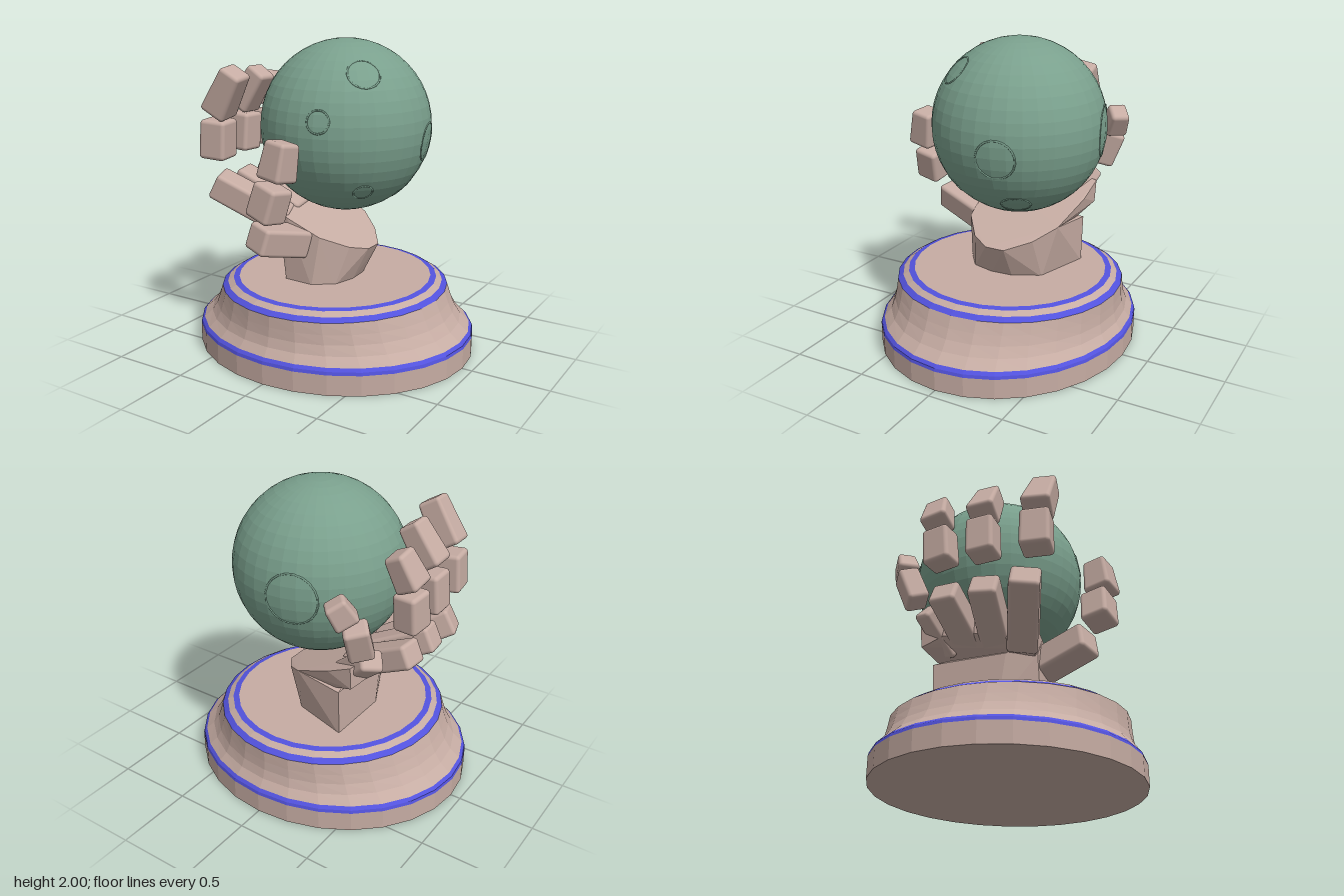
import * as THREE from 'three';
import { RoundedBoxGeometry } from 'three/addons/geometries/RoundedBoxGeometry.js';
import { ConvexGeometry } from 'three/addons/geometries/ConvexGeometry.js';

const V = (x, y, z) => new THREE.Vector3(x, y, z);
const mat = (color, flatShading = true) => new THREE.MeshStandardMaterial({ color, flatShading });
const stone = mat(0xc6aca3);
const boneSmooth = mat(0xc6aca3, false);
const blue = mat(0x5252dc);
const green = mat(0x7aa08d);
const greenSmooth = mat(0x7aa08d, false);

function add(parent, name, geometry, material) {
  const mesh = new THREE.Mesh(geometry, material);
  mesh.name = name;
  parent.add(mesh);
  return mesh;
}

// Turned band of the plinth: oval at the foot, round at the top
function band(parent, name, profile, material) {
  const g = new THREE.LatheGeometry(profile.map(([r, y]) => new THREE.Vector2(r, y)), 28);
  const p = g.attributes.position;
  for (let i = 0; i < p.count; i++) {
    const k = THREE.MathUtils.clamp((p.getY(i) - 0.165) / 0.245, 0, 1);
    p.setZ(i, p.getZ(i) * THREE.MathUtils.lerp(0.888, 1.015, k));
  }
  g.computeVertexNormals();
  add(parent, name, g, material);
}

// Rounded finger bone from a to b; "side" is its width direction, the far end narrows by taper
function bone(parent, name, a, b, side, width, depth, taper = 1) {
  const dir = b.clone().sub(a);
  const length = dir.length();
  const g = new RoundedBoxGeometry(width, length, depth, 3, 0.025);
  const p = g.attributes.position;
  for (let i = 0; i < p.count; i++) {
    const s = THREE.MathUtils.lerp(1, taper, THREE.MathUtils.clamp(p.getY(i) / length + 0.5, 0, 1));
    p.setX(i, p.getX(i) * s);
    p.setZ(i, p.getZ(i) * s);
  }
  const y = dir.normalize();
  const z = side.clone().cross(y).normalize();
  const x = y.clone().cross(z);
  g.applyMatrix4(new THREE.Matrix4().makeBasis(x, y, z).setPosition(a.clone().add(b).multiplyScalar(0.5)));
  add(parent, name, g, boneSmooth);
}

export function createModel() {
  const model = new THREE.Group();
  model.name = 'handHoldingGlobe';

  // Plinth with inlaid bands
  const plinth = new THREE.Group();
  plinth.name = 'plinth';
  model.add(plinth);
  band(plinth, 'plinthFoot', [[0, 0], [0.935, 0], [0.935, 0.13]], stone);
  band(plinth, 'lowerBand', [[0.935, 0.13], [0.93, 0.15], [0.91, 0.168]], blue);
  band(plinth, 'plinthFlare', [[0.91, 0.168], [0.845, 0.22], [0.8, 0.28], [0.77, 0.34], [0.74, 0.412]], stone);
  band(plinth, 'upperBand', [[0.74, 0.412], [0.705, 0.435]], blue);
  band(plinth, 'plinthShoulder', [[0.705, 0.435], [0.668, 0.458]], stone);
  band(plinth, 'topBand', [[0.668, 0.458], [0.63, 0.465]], blue);
  band(plinth, 'plinthTop', [[0.63, 0.465], [0, 0.465]], stone);

  // Globe with shallow crater rims
  const R = 0.55;
  const globe = new THREE.Group();
  globe.name = 'globe';
  globe.position.set(0.03, 1.45, -0.085);
  model.add(globe);
  add(globe, 'sphere', new THREE.SphereGeometry(R, 36, 24), green);
  const craters = [
    [0.12, 0.1, 0.52, 0.07], [0.29, 0.37, 0.28, 0.1], [0.3, -0.35, 0.295, 0.06],
    [0.33, -0.41, -0.155, 0.09], [0.53, -0.08, -0.12, 0.12], [-0.154, -0.01, -0.522, 0.16],
  ];
  for (const [x, y, z, r] of craters) {
    const d = V(x, y, z).normalize();
    const rim = add(globe, 'craterRim', new THREE.TorusGeometry(r, 0.006, 6, 20), greenSmooth);
    rim.position.copy(d).multiplyScalar(Math.sqrt(R * R - r * r) - 0.003);
    rim.quaternion.setFromUnitVectors(V(0, 0, 1), d);
  }

  const hand = new THREE.Group();
  hand.name = 'hand';
  model.add(hand);

  // Rim of the sloping palm, shared by the wrist and the palm slab
  const rim = [
    V(-0.18, 0.88, 0.29), V(0.05, 0.78, 0.27), V(0.2, 0.71, 0.15), V(0.27, 0.68, 0.03),
    V(0.27, 0.68, -0.1), V(0.16, 0.73, -0.25), V(0.02, 0.8, -0.36),
  ];
  const wristFoot = [
    [-0.31, -0.38], [-0.31, 0.05], [-0.2, 0.28], [0, 0.29], [0.12, 0.2], [0.16, 0.05], [0.15, -0.1], [0.06, -0.27],
  ].map(([x, z]) => V(x, 0.45, z));
  add(hand, 'wrist', new ConvexGeometry([
    ...wristFoot, ...rim, V(-0.31, 0.77, -0.39), V(-0.31, 0.77, 0.1), V(-0.24, 0.76, 0.28),
  ]), stone);

  const palmTop = [...rim, V(-0.34, 0.96, 0.29), V(-0.44, 1.0, 0.05), V(-0.46, 1.02, -0.25), V(-0.42, 1.0, -0.43), V(-0.25, 0.92, -0.42)];
  const palmUnder = [V(-0.3, 0.77, 0.28), V(-0.44, 0.86, 0.05), V(-0.46, 0.88, -0.25), V(-0.42, 0.85, -0.42), V(0, 0.65, 0.2), V(0, 0.65, -0.25)];
  add(hand, 'palm', new ConvexGeometry([...palmTop, ...palmUnder]), stone);

  // Digits: pairs of ends for the near, middle and tip bones
  const across = V(0, 0, 1);
  const digits = [
    { name: 'thumb', side: V(1, -0.2, 0.2), w: 0.19, d: 0.18, bones: [
      [V(-0.1, 0.73, 0.24), V(-0.2, 0.82, 0.6)],
      [V(-0.1, 0.97, 0.64), V(-0.04, 1.18, 0.62)],
      [V(-0.01, 1.22, 0.64), V(0.02, 1.45, 0.61)]] },
    { name: 'firstFinger', side: V(0.15, 0, 1), w: 0.19, d: 0.18, bones: [
      [V(-0.25, 0.83, 0.19), V(-0.68, 1.07, 0.37)],
      [V(-0.62, 1.25, 0.42), V(-0.605, 1.5, 0.42)],
      [V(-0.61, 1.54, 0.42), V(-0.45, 1.81, 0.43)]] },
    { name: 'secondFinger', side: across, w: 0.18, d: 0.17, bones: [
      [V(-0.25, 0.85, 0.03), V(-0.69, 1.06, 0.11)],
      [V(-0.665, 1.25, 0.1), V(-0.65, 1.5, 0.09)],
      [V(-0.67, 1.54, 0.09), V(-0.51, 1.78, 0.08)]] },
    { name: 'thirdFinger', side: V(-0.1, 0, 1), w: 0.18, d: 0.16, bones: [
      [V(-0.25, 0.85, -0.13), V(-0.69, 1.06, -0.15)],
      [V(-0.68, 1.24, -0.17), V(-0.675, 1.48, -0.19)],
      [V(-0.7, 1.52, -0.2), V(-0.6, 1.72, -0.23)]] },
    { name: 'littleFinger', side: V(-0.75, 0, 0.65), w: 0.16, d: 0.14, bones: [
      [V(-0.28, 0.84, -0.26), V(-0.52, 1.05, -0.34)],
      [V(-0.49, 1.12, -0.42), V(-0.5, 1.34, -0.51)],
      [V(-0.46, 1.36, -0.52), V(-0.4, 1.5, -0.58)]] },
  ];
  const parts = ['NearBone', 'MiddleBone', 'Tip'];
  for (const { name, side, w, d, bones } of digits) {
    const digit = new THREE.Group();
    digit.name = name;
    hand.add(digit);
    bones.forEach(([a, b], i) => bone(digit, name + parts[i], a, b, side, w, d, i === 2 ? 0.82 : 0.97));
  }
  return model;
}
